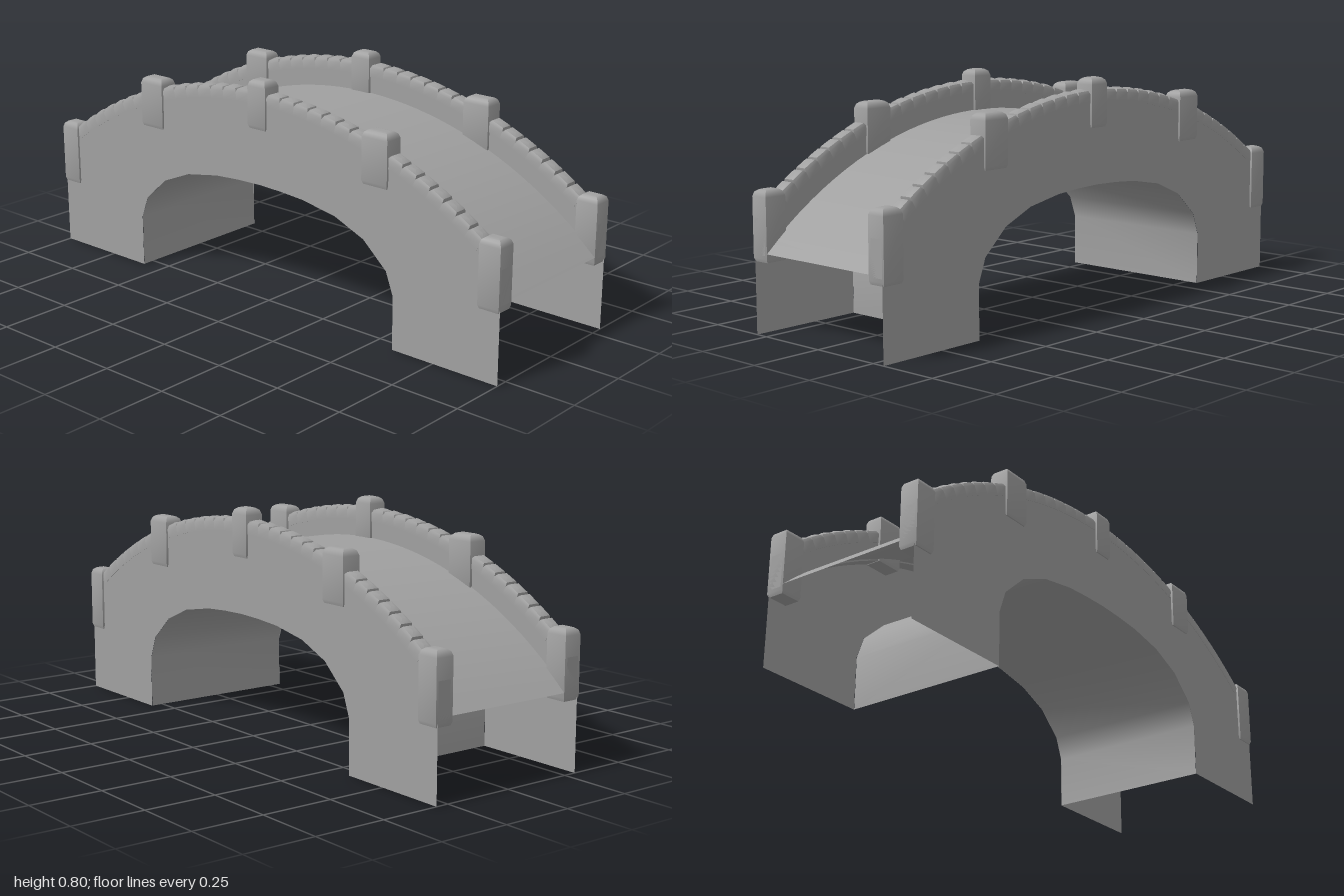
import * as THREE from 'three';
import { toCreasedNormals } from 'three/addons/utils/BufferGeometryUtils.js';

// The deck follows a circular arc; walls and coping are concentric with it
const R = 1.491, CY = -0.836;
const arcY = (x, lift = 0) => Math.sqrt((R + lift) ** 2 - x * x) + CY;
const arcPoints = (lift, n = 40) => Array.from({ length: n + 1 }, (_, i) => {
  const x = -1 + (2 * i) / n;
  return new THREE.Vector2(x, arcY(x, lift));
});

// Half of the arch opening, from crown to ground
const HALF_ARCH = [[0, 0.435], [0.1, 0.432], [0.2, 0.425], [0.34, 0.4], [0.46, 0.35],
  [0.555, 0.265], [0.585, 0.185], [0.585, 0]];
const ARCH = [
  ...HALF_ARCH.slice(1).reverse().map(([x, y]) => new THREE.Vector2(-x, y)),
  ...HALF_ARCH.map(([x, y]) => new THREE.Vector2(x, y)),
];

// Open sheet swept across the bridge along z, facing up
function sheet(points, halfWidth) {
  const pos = [], idx = [];
  points.forEach((p, i) => {
    pos.push(p.x, p.y, halfWidth, p.x, p.y, -halfWidth);
    if (i) {
      const a = 2 * (i - 1);
      idx.push(a, a + 2, a + 3, a, a + 3, a + 1);
    }
  });
  const g = new THREE.BufferGeometry();
  g.setAttribute('position', new THREE.Float32BufferAttribute(pos, 3));
  g.setIndex(idx);
  g.computeVertexNormals();
  return g;
}

// Block lofted from rectangular rings [y, half x, half z]
function loft(rings) {
  const pos = [], idx = [];
  rings.forEach(([y, hx, hz], r) => {
    pos.push(hx, y, hz, hx, y, -hz, -hx, y, -hz, -hx, y, hz);
    if (!r) return;
    for (let j = 0; j < 4; j++) {
      const k = (j + 1) % 4, lo = 4 * (r - 1), hi = 4 * r;
      idx.push(lo + j, lo + k, hi + k, lo + j, hi + k, hi + j);
    }
  });
  const t = 4 * (rings.length - 1);
  idx.push(t, t + 1, t + 2, t, t + 2, t + 3, 0, 2, 1, 0, 3, 2);
  const g = new THREE.BufferGeometry();
  g.setAttribute('position', new THREE.Float32BufferAttribute(pos, 3));
  g.setIndex(idx);
  return toCreasedNormals(g, 0.6);
}

// Standing post with a softly rounded cap
function postGeometry(width, bottom, top) {
  const hx = width / 2, hz = 0.033;
  return loft([
    [bottom, hx - 0.004, hz - 0.004],
    [bottom + 0.012, hx, hz],
    [top - 0.024, hx, hz],
    [top - 0.01, hx - 0.005, hz - 0.005],
    [top - 0.003, hx - 0.014, hz - 0.014],
    [top, hx - 0.024, hz - 0.024],
  ]);
}

// Pillow-shaped coping stone
function stoneGeometry(width) {
  const hx = width / 2;
  return loft([
    [-0.03, hx, 0.026],
    [0.002, hx, 0.026],
    [0.013, hx * 0.82, 0.021],
    [0.02, hx * 0.25, 0.007],
  ]);
}

export function createModel() {
  const stone = new THREE.MeshStandardMaterial({ color: 0xa0a0a0, side: THREE.DoubleSide });
  stone.name = 'grey stone';
  const bridge = new THREE.Group();
  bridge.name = 'archBridge';
  const add = (parent, geometry, name) => {
    const mesh = new THREE.Mesh(geometry, stone);
    mesh.name = name;
    parent.add(mesh);
    return mesh;
  };

  // Walkway and underside of the arch, open at the ends
  add(bridge, sheet(arcPoints(0), 0.294), 'deck');
  add(bridge, sheet([...ARCH].reverse(), 0.294), 'archUnderside');

  // Outer wall outline: ground, arch opening, then the upper arc
  const wallShape = new THREE.Shape([
    new THREE.Vector2(-1, 0), ...ARCH, new THREE.Vector2(1, 0),
    ...arcPoints(0.085).reverse(),
  ]);
  const wallGeo = new THREE.ShapeGeometry(wallShape);

  // Parapet body standing on the deck
  const parapetShape = new THREE.Shape([...arcPoints(-0.005), ...arcPoints(0.085).reverse()]);
  const parapetGeo = new THREE.ExtrudeGeometry(parapetShape, { depth: 0.048, bevelEnabled: false });
  parapetGeo.translate(0, 0, -0.024);

  const posts = [
    [0, 0.08, 0.63, 0.8],
    [0.508, 0.104, 0.54, 0.722],
    [-0.508, 0.104, 0.54, 0.722],
    [0.96, 0.08, 0.24, 0.475],
    [-0.96, 0.08, 0.24, 0.475],
  ];
  const spans = [[0.04, 0.458], [0.558, 0.922]];
  const STONES = 7;

  for (const side of [1, -1]) {
    const half = new THREE.Group();
    half.name = side > 0 ? 'frontSide' : 'backSide';
    bridge.add(half);

    const wall = add(half, wallGeo, 'outerWall');
    wall.position.z = side * 0.295;
    if (side < 0) wall.rotation.y = Math.PI;
    add(half, parapetGeo, 'parapet').position.z = side * 0.27;

    for (const [x, width, bottom, top] of posts) {
      add(half, postGeometry(width, bottom, top), 'post').position.set(x, 0, side * 0.2695);
    }

    // Coping stones spaced by angle between the posts
    for (const [x0, x1] of spans) {
      const r = R + 0.088;
      const a0 = Math.asin(x0 / r), a1 = Math.asin(x1 / r);
      const step = (a1 - a0) / STONES;
      const geo = stoneGeometry(step * r);
      for (const dir of [1, -1]) {
        for (let i = 0; i < STONES; i++) {
          const a = dir * (a0 + step * (i + 0.5));
          const m = add(half, geo, 'copingStone');
          m.position.set(r * Math.sin(a), r * Math.cos(a) + CY, side * 0.27);
          m.rotation.z = -a;
        }
      }
    }
  }
  return bridge;
}
